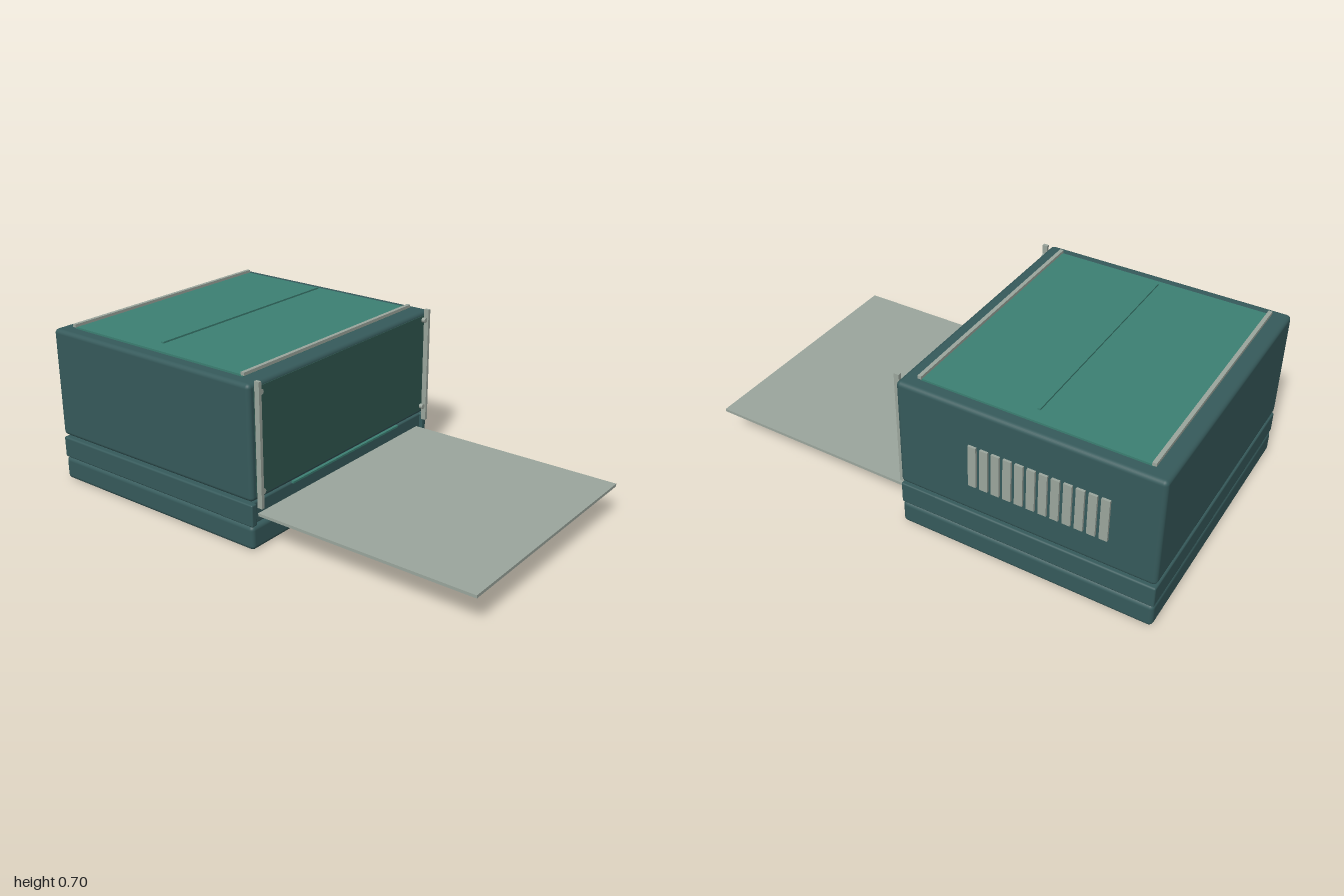
import * as THREE from 'three';
import { RoundedBoxGeometry } from 'three/addons/geometries/RoundedBoxGeometry.js';

export function createModel() {
  const model = new THREE.Group();
  const mat = (color) => new THREE.MeshStandardMaterial({ color });
  const shell = mat(0x365a5b);
  const door = mat(0x2f574f);
  const teal = mat(0x3c8073);
  const metal = mat(0x9ba69d);

  // Everything is centred on the cabinet's middle plane
  const cabinet = new THREE.Group();
  cabinet.name = 'cabinet';
  cabinet.position.x = -0.005;
  model.add(cabinet);

  // Box given by its limits on each axis; optional corner radius
  function box(name, material, [x0, x1], [y0, y1], [z0, z1], radius = 0) {
    const size = [x1 - x0, y1 - y0, z1 - z0];
    const geometry = radius
      ? new RoundedBoxGeometry(...size, 3, radius)
      : new THREE.BoxGeometry(...size);
    const mesh = new THREE.Mesh(geometry, material);
    mesh.name = name;
    mesh.position.set((x0 + x1) / 2, (y0 + y1) / 2, (z0 + z1) / 2);
    cabinet.add(mesh);
    return mesh;
  }

  // Stacked housing
  box('base', shell, [-0.58, 0.58], [0, 0.1], [-1, 0.06], 0.018);
  box('trayHousing', shell, [-0.58, 0.58], [0.1, 0.192], [-1, 0.045], 0.008);
  box('upperBody', shell, [-0.58, 0.58], [0.202, 0.67], [-1, 0.06], 0.018);

  // Front door panel, its handle strip and the pulled-out tray
  box('frontPanel', door, [-0.553, 0.553], [0.222, 0.652], [0.05, 0.063]);
  box('frontStrip', teal, [-0.35, 0.35], [0.2, 0.208], [0.058, 0.07]);
  box('tray', metal, [-0.53, 0.53], [0.126, 0.138], [0.03, 1]);

  // Top panel with end bars and centre line
  box('topPanel', teal, [-0.525, 0.525], [0.665, 0.678], [-0.925, -0.015]);
  for (const z of [-0.928, -0.012]) {
    box('topBar', metal, [-0.53, 0.53], [0.677, 0.69], [z - 0.008, z + 0.008]);
  }
  box('topCentreLine', teal, [-0.48, 0.48], [0.69, 0.697], [-0.478, -0.466]);

  // Posts, rails and bolts on both sides of the front
  for (const s of [-1, 1]) {
    const inner = s * 0.552, outer = s * 0.58;
    box('frontPost', shell, [Math.min(inner, outer), Math.max(inner, outer)],
      [0.1, 0.192], [-0.1, 0.06], 0.006);
    box('frontRail', metal, [s * 0.545 - 0.007, s * 0.545 + 0.007], [0.175, 0.68], [0.063, 0.085]);
    for (const y of [0.24, 0.635]) {
      const bolt = new THREE.Mesh(new THREE.CylinderGeometry(0.011, 0.011, 0.022, 16), metal);
      bolt.name = 'bolt';
      bolt.rotation.x = Math.PI / 2;
      bolt.position.set(s * 0.53, y, 0.068);
      cabinet.add(bolt);
    }
  }

  // Vent slats on the +x side
  for (let i = 0; i < 12; i++) {
    const z = -0.266 - i * 0.048;
    box('ventSlat', metal, [0.575, 0.59], [0.33, 0.512], [z - 0.0165, z + 0.0165]);
  }

  return model;
}
